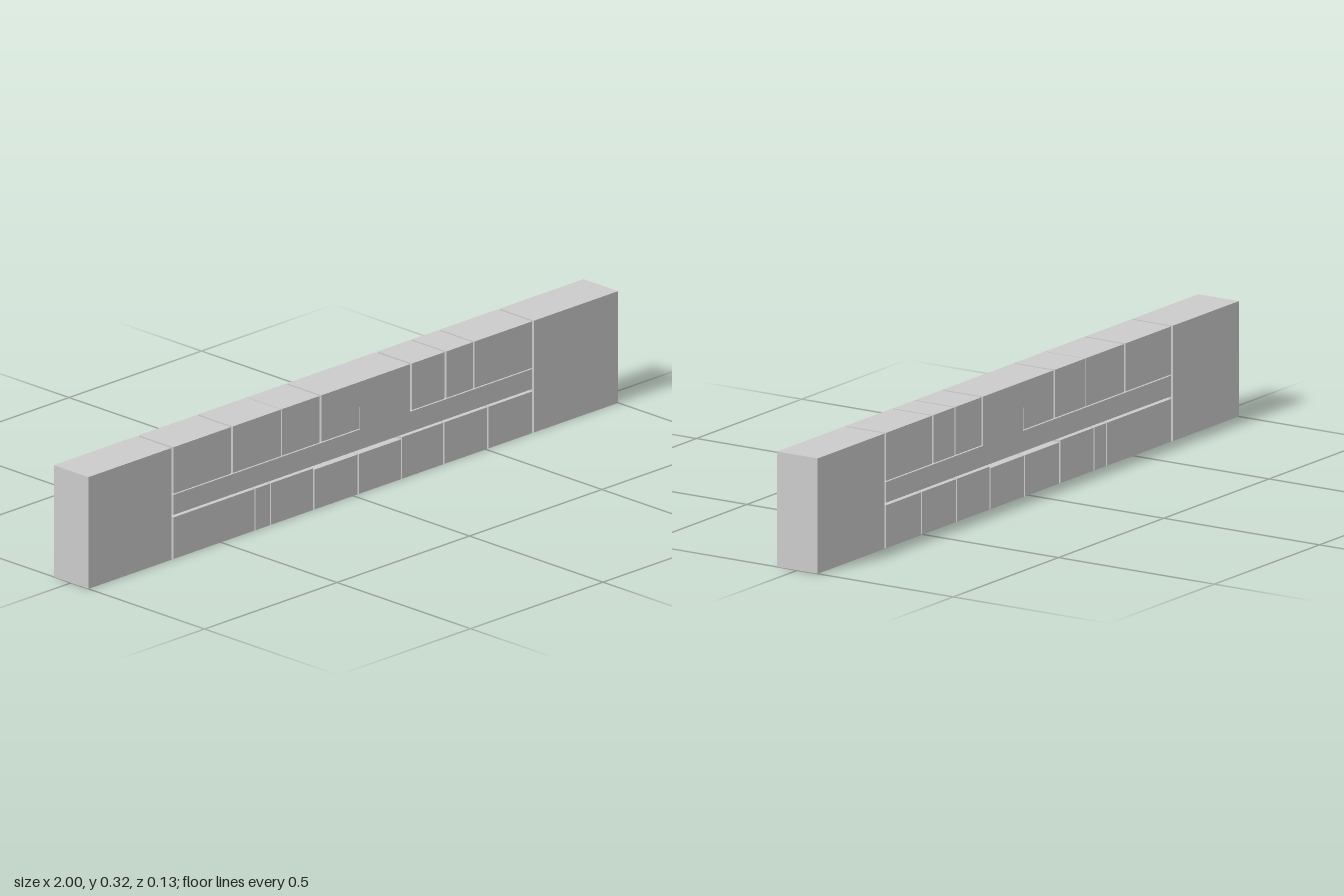
import * as THREE from 'three';

const DEPTH = 0.13;
const HEIGHT = 0.317;

export function createModel() {
  const model = new THREE.Group();
  model.name = 'blockWall';
  const material = new THREE.MeshStandardMaterial({ color: 0xcccccc, flatShading: true });

  const add = (name, geometry) => {
    const mesh = new THREE.Mesh(geometry, material);
    mesh.name = name;
    model.add(mesh);
    return mesh;
  };

  // Full-depth block between two x and two y positions
  const block = (name, x0, x1, y0, y1) => {
    const mesh = add(name, new THREE.BoxGeometry(x1 - x0, y1 - y0, DEPTH));
    mesh.position.set((x0 + x1) / 2, (y0 + y1) / 2, 0);
  };

  // Large end blocks
  block('rightEndBlock', -1, -0.687, 0, HEIGHT);
  block('leftEndBlock', 0.682, 1, 0, HEIGHT);

  // Upper row on both sides of the centre
  [
    [-0.679, -0.462], [-0.455, -0.273], [-0.27, -0.127],
    [0.222, 0.345], [0.351, 0.451], [0.457, 0.675],
  ].forEach(([x0, x1], i) => block(`upperBlock${i + 1}`, x0, x1, 0.185, HEIGHT));

  // Lower row; the two middle blocks are slightly shorter
  [
    [-0.679, -0.374, 0.118], [-0.369, -0.315, 0.118], [-0.31, -0.153, 0.118],
    [-0.147, 0.016, 0.113], [0.021, 0.179, 0.113], [0.184, 0.339, 0.118],
    [0.344, 0.504, 0.118], [0.51, 0.675, 0.118],
  ].forEach(([x0, x1, top], i) => block(`lowerBlock${i + 1}`, x0, x1, 0, top));

  // Long beam joined to the centre block, with an L-shaped slit under its right half
  const outline = [
    [-0.679, 0.125], [0.675, 0.125], [0.675, 0.182], [0.214, 0.182],
    [0.214, HEIGHT], [-0.12, HEIGHT], [-0.12, 0.185], [0.023, 0.185],
    [0.023, 0.246], [0.026, 0.246], [0.026, 0.182], [-0.679, 0.182],
  ].map(([x, y]) => new THREE.Vector2(x, y));
  const beam = new THREE.ExtrudeGeometry(new THREE.Shape(outline), {
    depth: DEPTH, bevelEnabled: false,
  });
  beam.translate(0, 0, -DEPTH / 2);
  add('beamWithCentreBlock', beam);

  return model;
}
